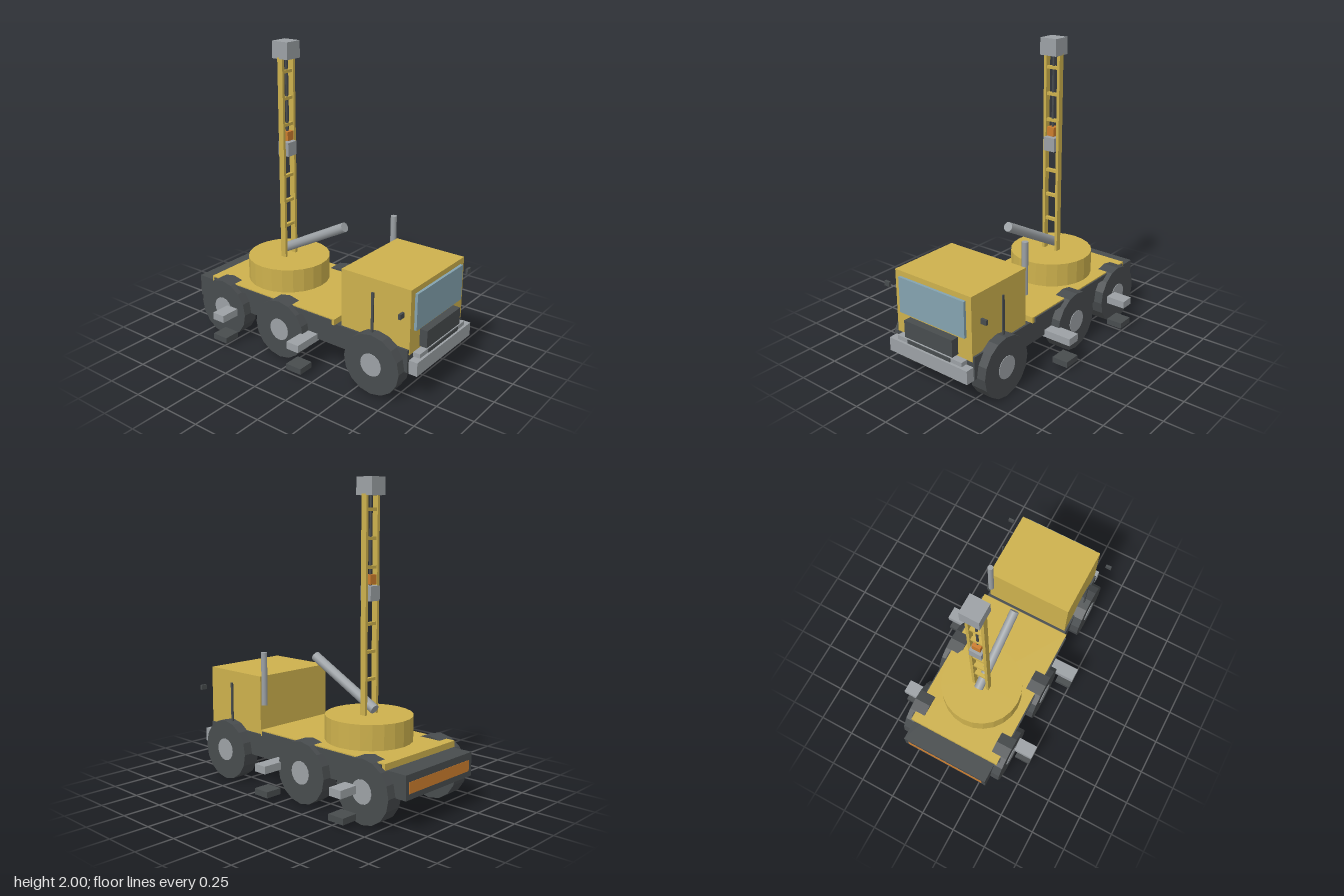
import * as THREE from 'three';

const mat = (name, color, flatShading = false) => {
  const m = new THREE.MeshStandardMaterial({ color, flatShading });
  m.name = name;
  return m;
};

export function createModel() {
  const yellow = mat('yellow paint', 0xcdb14d, true);
  const dark = mat('dark rubber and steel', 0x484c4e, true);
  const grey = mat('grey metal', 0x9ca1a5);
  const glass = mat('window glass', 0x84a3b0);
  const orange = mat('orange', 0xcc7d2e);

  const root = new THREE.Group();
  root.name = 'craneTruck';

  const add = (name, geometry, material, x = 0, y = 0, z = 0) => {
    const m = new THREE.Mesh(geometry, material);
    m.name = name;
    m.position.set(x, y, z);
    root.add(m);
    return m;
  };
  // Box given by its lower and upper limits on each axis
  const box = (name, material, [x0, x1], [y0, y1], [z0, z1]) =>
    add(name, new THREE.BoxGeometry(x1 - x0, y1 - y0, z1 - z0), material,
      (x0 + x1) / 2, (y0 + y1) / 2, (z0 + z1) / 2);
  // The same box on both sides of the truck
  const pair = (name, material, [x0, x1], ys, zs) => {
    box(name + 'Left', material, [x0, x1], ys, zs);
    box(name + 'Right', material, [-x1, -x0], ys, zs);
  };

  // Chassis and deck
  box('chassis', dark, [-0.318, 0.318], [0.195, 0.345], [-0.895, 0.828]);
  box('deck', yellow, [-0.335, 0.335], [0.345, 0.385], [-0.757, 0.3]);
  pair('deckSideRail', dark, [0.335, 0.344], [0.345, 0.378], [-0.735, 0.28]);
  box('rearMarker', orange, [-0.29, 0.29], [0.23, 0.3], [-0.897, -0.893]);

  // Cab
  box('cab', yellow, [-0.305, 0.305], [0.31, 0.73], [0.333, 0.832]);
  box('windshield', glass, [-0.263, 0.263], [0.458, 0.695], [0.83, 0.85]);
  box('grille', dark, [-0.195, 0.195], [0.325, 0.438], [0.83, 0.884]);
  box('bumper', grey, [-0.318, 0.318], [0.195, 0.285], [0.838, 0.897]);
  box('bumperStep', grey, [-0.263, 0.263], [0.285, 0.313], [0.832, 0.88]);
  box('lowerGrille', dark, [-0.175, 0.175], [0.288, 0.312], [0.832, 0.886]);
  pair('doorBar', dark, [0.331, 0.34], [0.35, 0.657], [0.577, 0.593]);
  pair('mirror', dark, [0.37, 0.412], [0.585, 0.617], [0.814, 0.83]);
  add('exhaust', new THREE.CylinderGeometry(0.02, 0.02, 0.35, 12), grey, 0.285, 0.715, 0.315);

  // Wheels and hubs, three axles
  const wheelGeo = new THREE.CylinderGeometry(0.2, 0.2, 0.115, 16).rotateZ(Math.PI / 2);
  const hubGeo = new THREE.CylinderGeometry(0.075, 0.075, 0.12, 16).rotateZ(Math.PI / 2);
  for (const z of [0.61, -0.115, -0.62]) {
    for (const side of [-1, 1]) {
      add('wheel', wheelGeo, dark, side * 0.322, 0.2, z);
      add('hub', hubGeo, grey, side * 0.323, 0.2, z);
    }
  }

  // Stabiliser beams and foot pads
  for (const z of [0.108, -0.535]) {
    pair('outriggerBeam', grey, [0.28, 0.515], [0.18, 0.23], [z - 0.046, z + 0.046]);
    pair('outriggerFoot', dark, [0.395, 0.508], [0.026, 0.066], [z - 0.058, z + 0.058]);
  }

  // Turntable
  const tz = -0.343;
  add('turntable', new THREE.CylinderGeometry(0.278, 0.278, 0.16, 24), yellow, 0, 0.465, tz);

  // Lattice mast
  pair('mastRail', yellow, [0.042, 0.062], [0.545, 1.9], [tz - 0.02, tz + 0.02]);
  for (let i = 0; i < 7; i++) {
    const y = 0.765 + i * 0.1735;
    box('mastRung', yellow, [-0.044, 0.044], [y - 0.01, y + 0.01], [tz - 0.012, tz + 0.012]);
  }
  box('mastHead', grey, [-0.062, 0.062], [1.89, 2], [tz - 0.062, tz + 0.062]);

  // Hoist cable, hook block and hook
  add('cable', new THREE.CylinderGeometry(0.008, 0.008, 0.57, 8), dark, 0, 1.62, tz);
  box('hookBlock', grey, [-0.042, 0.042], [1.255, 1.347], [tz - 0.042, tz + 0.042]);
  box('hookCollar', orange, [-0.028, 0.028], [1.355, 1.415], [tz - 0.027, tz + 0.027]);

  // Tilted hydraulic ram leaning forward over the deck
  const a = new THREE.Vector3(0, 0.58, -0.388);
  const b = new THREE.Vector3(0, 0.853, 0.127);
  const dir = b.clone().sub(a);
  const ram = add('hydraulicRam', new THREE.CylinderGeometry(0.032, 0.032, dir.length(), 12), grey);
  ram.position.copy(a).add(b).multiplyScalar(0.5);
  ram.quaternion.setFromUnitVectors(new THREE.Vector3(0, 1, 0), dir.normalize());

  return root;
}
